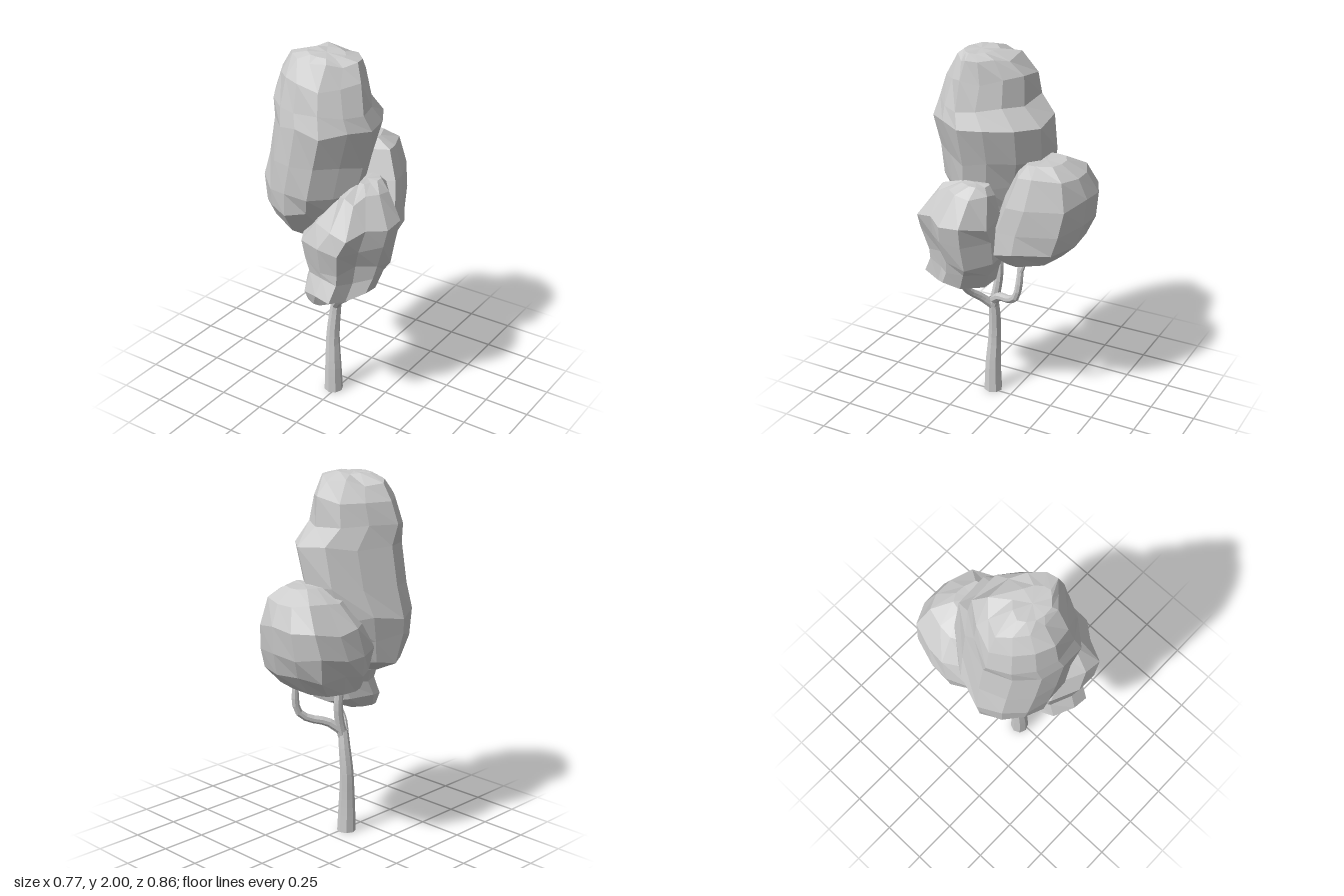
import * as THREE from 'three';

const material = new THREE.MeshStandardMaterial({ color: 0xcccccc, flatShading: true, side: THREE.DoubleSide });

function seeded(seed) {
  return () => {
    seed = (seed * 16807) % 2147483647;
    return seed / 2147483647 - 0.5;
  };
}

// Faceted leaf mass: a plan outline (in a -1..1 square) lofted through
// rings of [y, xMin, xMax, zMin, zMax], top to bottom
function foliage(name, plan, rings, seed) {
  const rand = seeded(seed);
  const sides = plan.length;
  const pos = [];
  const index = [];
  const mid = ([y, x0, x1, z0, z1]) => pos.push((x0 + x1) / 2, y, (z0 + z1) / 2);
  mid(rings[0]);
  rings.forEach(([y, x0, x1, z0, z1], r) => {
    const end = r === 0 || r === rings.length - 1;
    for (const [px, pz] of plan) {
      const k = 1 + rand() * 0.06;
      pos.push(
        (x0 + x1) / 2 + px * (x1 - x0) / 2 * k,
        y + rand() * (end ? 0.01 : 0.04),
        (z0 + z1) / 2 + pz * (z1 - z0) / 2 * k
      );
    }
  });
  mid(rings[rings.length - 1]);
  const last = pos.length / 3 - 1;
  for (let i = 0; i < sides; i++) {
    const j = (i + 1) % sides;
    index.push(0, 1 + j, 1 + i);
    for (let r = 0; r < rings.length - 1; r++) {
      const a = 1 + r * sides + i, b = 1 + r * sides + j;
      index.push(a, b, a + sides, b, b + sides, a + sides);
    }
    index.push(last, last - sides + i, last - sides + j);
  }
  const geo = new THREE.BufferGeometry();
  geo.setAttribute('position', new THREE.Float32BufferAttribute(pos, 3));
  geo.setIndex(index);
  const flat = geo.toNonIndexed();
  flat.computeVertexNormals();
  const mesh = new THREE.Mesh(flat, material);
  mesh.name = name;
  return mesh;
}

// Tube whose radius follows a list of values along the path
function limb(name, points, radii, sides = 8) {
  const curve = new THREE.CatmullRomCurve3(points.map(p => new THREE.Vector3(...p)));
  const segments = 12;
  const geo = new THREE.TubeGeometry(curve, segments, 1, sides);
  const pos = geo.attributes.position;
  const v = new THREE.Vector3();
  for (let i = 0; i < pos.count; i++) {
    const t = Math.min(1, Math.floor(i / (sides + 1)) / segments);
    const f = t * (radii.length - 1);
    const k = Math.min(Math.floor(f), radii.length - 2);
    const radius = THREE.MathUtils.lerp(radii[k], radii[k + 1], f - k);
    const c = curve.getPointAt(t);
    v.fromBufferAttribute(pos, i).sub(c).multiplyScalar(radius).add(c);
    pos.setXYZ(i, v.x, v.y, v.z);
  }
  geo.computeVertexNormals();
  const mesh = new THREE.Mesh(geo, material);
  mesh.name = name;
  return mesh;
}

export function createModel() {
  const tree = new THREE.Group();
  tree.name = 'tree';

  // Trunk and its cut base
  tree.add(limb('trunk', [[-0.016, 0, 0.12], [-0.018, 0.18, 0.12], [-0.024, 0.35, 0.112], [-0.012, 0.5, 0.106], [0, 0.59, 0.108]],
    [0.052, 0.046, 0.039, 0.034, 0.028]));
  const base = new THREE.Mesh(new THREE.CircleGeometry(0.052, 8), material);
  base.name = 'trunkBase';
  base.rotation.x = Math.PI / 2;
  base.position.set(-0.016, 0.001, 0.12);
  tree.add(base);

  // Three branches, two of them forked
  tree.add(limb('crownBranch', [[0, 0.55, 0.108], [0.005, 0.64, 0.085], [0, 0.76, 0.07], [-0.03, 1.05, 0.1]], [0.028, 0.024, 0.014]));
  tree.add(limb('frontBranch', [[0, 0.55, 0.115], [0.05, 0.61, 0.16], [0.12, 0.67, 0.195], [0.18, 0.75, 0.2], [0.2, 0.84, 0.21]], [0.026, 0.02, 0.012]));
  tree.add(limb('frontTwig', [[0.12, 0.67, 0.195], [0.13, 0.73, 0.215], [0.13, 0.8, 0.23]], [0.014, 0.009]));
  tree.add(limb('backBranch', [[0, 0.58, 0.105], [0.05, 0.64, 0.04], [0.11, 0.675, -0.06], [0.135, 0.72, -0.105], [0.13, 0.86, -0.125], [0.11, 0.98, -0.11]],
    [0.026, 0.022, 0.02, 0.012]));
  tree.add(limb('backTwig', [[0.13, 0.86, -0.125], [0.13, 0.91, -0.145], [0.12, 0.97, -0.16]], [0.015, 0.009]));

  // Tall main crown, with a step at its upper back
  const crownPlan = [[1, 0.19], [0.75, 0.57], [0.42, 0.93], [-0.05, 1], [-0.45, 0.85], [-0.8, 0.53],
    [-1, 0.08], [-0.78, -0.53], [-0.45, -1], [0.22, -1], [0.62, -0.7], [0.9, -0.25]];
  tree.add(foliage('mainCrown', crownPlan, [
    [1.995, -0.12, 0.1, 0.09, 0.25],
    [1.965, -0.23, 0.17, 0.0, 0.28],
    [1.87, -0.28, 0.19, -0.075, 0.355],
    [1.74, -0.32, 0.23, -0.085, 0.39],
    [1.65, -0.305, 0.255, -0.185, 0.415],
    [1.45, -0.345, 0.21, -0.175, 0.41],
    [1.29, -0.385, 0.17, -0.13, 0.405],
    [1.18, -0.37, 0.13, -0.09, 0.38],
    [1.05, -0.35, 0.07, -0.04, 0.29],
    [0.98, -0.22, 0.0, 0.05, 0.22]
  ], 11));

  // Front lower leaf mass
  const frontPlan = [[1, 0.1], [0.6, 0.5], [0.38, 1], [-0.1, 1], [-0.7, 0.7], [-1, 0.1],
    [-0.75, -0.6], [-0.2, -1], [0.45, -0.95], [1, -0.45]];
  tree.add(foliage('frontFoliage', frontPlan, [
    [1.345, 0.12, 0.25, 0.03, 0.17],
    [1.29, 0.08, 0.3, 0.0, 0.3],
    [1.15, -0.02, 0.385, -0.02, 0.41],
    [1.05, -0.12, 0.365, -0.02, 0.425],
    [0.92, -0.1, 0.325, -0.01, 0.395],
    [0.85, -0.07, 0.3, 0.02, 0.39],
    [0.76, -0.08, 0.28, 0.05, 0.43],
    [0.695, -0.04, 0.13, 0.2, 0.38]
  ], 29));

  // Rounded back leaf mass, reaching under the main crown
  const backPlan = [[0.95, 0.15], [1, 0.6], [0.5, 0.95], [-0.15, 1], [-0.82, 0.92], [-1, 0.4],
    [-0.95, -0.1], [-0.8, -0.73], [-0.4, -1], [0.1, -1], [0.65, -0.72]];
  tree.add(foliage('backFoliage', backPlan, [
    [1.455, -0.13, 0.09, -0.29, -0.11],
    [1.4, -0.24, 0.17, -0.38, -0.07],
    [1.26, -0.33, 0.23, -0.43, -0.01],
    [1.13, -0.355, 0.26, -0.41, 0.04],
    [1.01, -0.33, 0.27, -0.375, 0.03],
    [0.92, -0.29, 0.19, -0.29, -0.01]
  ], 47));

  return tree;
}
